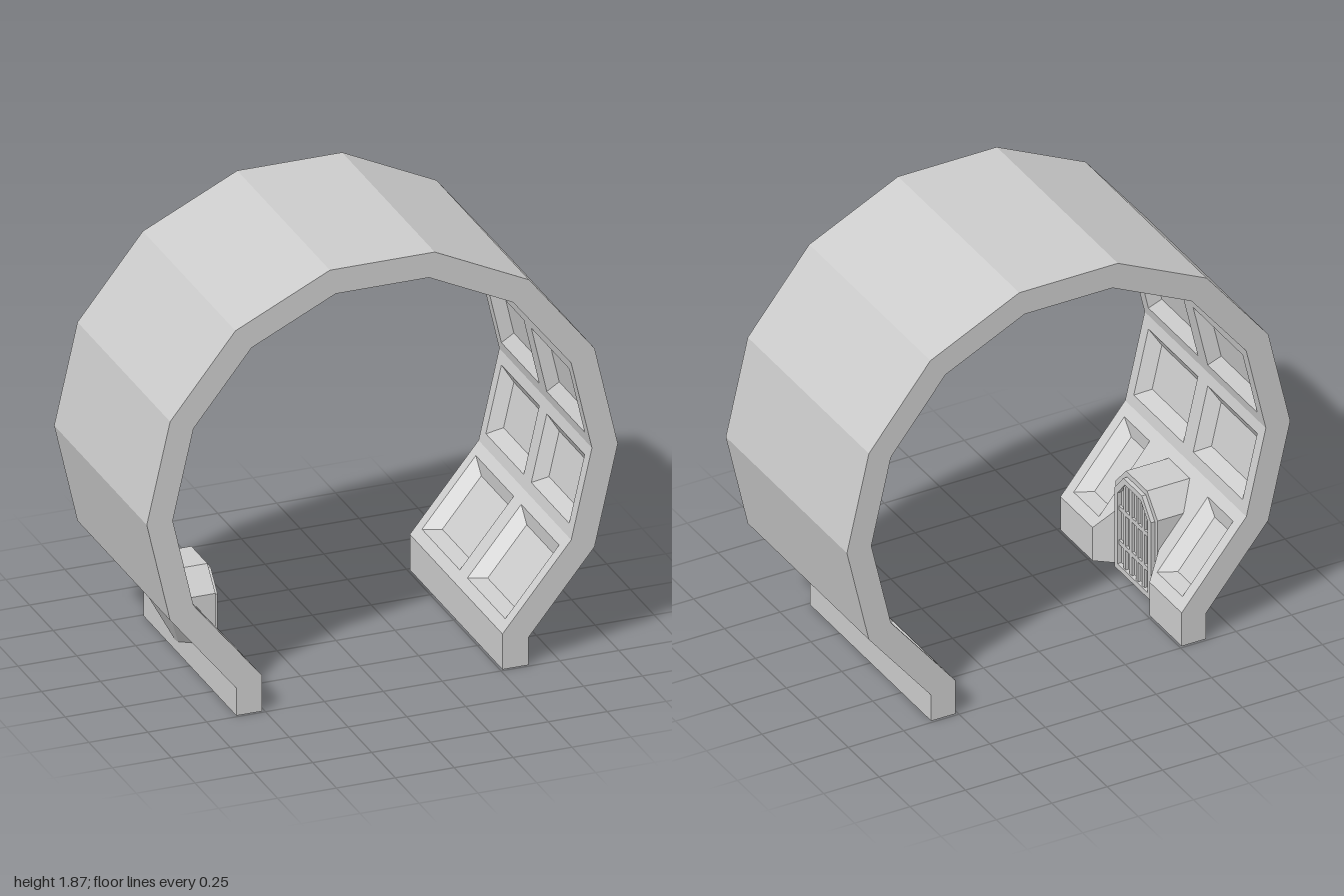
import * as THREE from 'three';

const HALF = 0.49; // half the depth of the arch
const material = new THREE.MeshStandardMaterial({ color: 0xcccccc, flatShading: true, side: THREE.DoubleSide });
const V = (x, y) => new THREE.Vector2(x, y);
const polygon = (pts) => new THREE.Shape(pts.map(([x, y]) => V(x, y)));

function add(parent, name, geometry) {
  const mesh = new THREE.Mesh(geometry, material);
  mesh.name = name;
  parent.add(mesh);
  return mesh;
}

// Fourteen-sided ring profile standing on two short legs
function profile(radius, legX, legY) {
  const pts = [V(legX, 0), V(legX, legY)];
  for (let k = -1; k <= 8; k++) {
    const a = (k * Math.PI * 2) / 14;
    pts.push(V(radius * Math.cos(a), 0.9 + radius * Math.sin(a)));
  }
  pts.push(V(-legX, legY), V(-legX, 0));
  return pts;
}

const rect = (s0, s1, z0, z1) => [[s0, z0], [s1, z0], [s1, z1], [s0, z1]];

// Sunken panel with sloping sides
function cofferGeometry([s0, s1, z0, z1], inset = 0.05, depth = 0.045) {
  const top = rect(s0, s1, z0, z1);
  const low = rect(s0 + inset, s1 - inset, z0 + inset, z1 - inset);
  const pos = [];
  const quad = (a, b, c, d) => pos.push(...a, ...b, ...c, ...a, ...c, ...d);
  for (let i = 0; i < 4; i++) {
    const j = (i + 1) % 4;
    quad([...top[i], 0], [...top[j], 0], [...low[j], -depth], [...low[i], -depth]);
  }
  quad(...low.map((p) => [...p, -depth]));
  const g = new THREE.BufferGeometry();
  g.setAttribute('position', new THREE.Float32BufferAttribute(pos, 3));
  g.computeVertexNormals();
  return g;
}

// Flat wall strip from a to b, running the full depth, with optional coffers
function wallFace(parent, name, a, b, outlines, coffers = []) {
  const u = new THREE.Vector3(b.x - a.x, b.y - a.y, 0).normalize();
  const v = new THREE.Vector3(0, 0, -1);
  const m = new THREE.Matrix4().makeBasis(u, v, u.clone().cross(v)).setPosition(a.x, a.y, 0);
  for (const outline of outlines) {
    const shape = polygon(outline);
    for (const c of coffers) shape.holes.push(new THREE.Path(rect(...c).reverse().map(([x, y]) => V(x, y))));
    add(parent, name, new THREE.ShapeGeometry(shape).applyMatrix4(m));
  }
  for (const c of coffers) add(parent, 'coffer', cofferGeometry(c).applyMatrix4(m));
}

function buildArch() {
  const arch = new THREE.Group();
  arch.name = 'arch';
  const outer = profile(1, 0.62, 0.12);
  const inner = profile(0.89, 0.51, 0.155);
  const last = inner.length - 2;

  for (let i = 0; i <= last; i++) {
    // Outer skin
    const lo = outer[i].distanceTo(outer[i + 1]);
    wallFace(arch, 'outerWall', outer[i + 1], outer[i], [rect(0, lo, -HALF, HALF)]);

    // Inner skin, opened around the gate on the right side
    const L = inner[i].distanceTo(inner[i + 1]);
    const full = [rect(0, L, -HALF, HALF)];
    const e = 0.05;
    if (i === 0) {
      wallFace(arch, 'innerLeg', inner[i], inner[i + 1], full);
    } else if (i === last) {
      wallFace(arch, 'innerLeg', inner[i], inner[i + 1], [rect(0, L, -HALF, -0.23), rect(0, L, 0.23, HALF)]);
    } else if (i === last - 1) {
      const n = L - 0.119;
      const notched = [[0, -HALF], [L, -HALF], [L, -0.23], [n, -0.17], [n, 0.17], [L, 0.23], [L, HALF], [0, HALF]];
      wallFace(arch, 'gateWall', inner[i], inner[i + 1], [notched],
        [[e, L - e, 0.235, HALF - e], [e, L - e, e - HALF, -0.235]]);
    } else {
      wallFace(arch, 'innerWall', inner[i], inner[i + 1], full,
        [[e, L - e, 0.04, HALF - e], [e, L - e, e - HALF, -0.04]]);
    }
  }

  // End rings
  const ring = new THREE.Shape([...outer, ...[...inner].reverse()]);
  add(arch, 'frontRim', new THREE.ShapeGeometry(ring)).position.z = HALF;
  const back = add(arch, 'backRim', new THREE.ShapeGeometry(ring));
  back.position.z = -HALF;
  back.rotation.y = Math.PI;
  return arch;
}

// Arch outline with chamfered shoulders
const gateArch = (w, y0, shoulder, topW, top) => [
  [-w, y0], [w, y0], [w, 0.14], [w, shoulder], [topW, top], [-topW, top], [-w, shoulder], [-w, 0.14]];

function buildGate() {
  const gate = new THREE.Group();
  gate.name = 'gate';
  gate.position.x = -0.58;
  gate.rotation.y = Math.PI / 2;

  // Housing whose back follows the sloping wall
  const body = new THREE.ExtrudeGeometry(polygon(gateArch(0.17, 0, 0.385, 0.085, 0.478)), { depth: 1, bevelEnabled: false });
  const p = body.attributes.position;
  for (let i = 0; i < p.count; i++) {
    p.setZ(i, p.getZ(i) > 0.5 ? 0 : -0.015 - 0.8 * Math.max(0, p.getY(i) - 0.14));
  }
  body.computeVertexNormals();
  add(gate, 'gateHousing', body);

  // Raised frame
  const frame = polygon(gateArch(0.148, 0.005, 0.37, 0.075, 0.455));
  frame.holes.push(new THREE.Path(gateArch(0.122, 0.03, 0.36, 0.063, 0.43).reverse().map(([x, y]) => V(x, y))));
  add(gate, 'gateFrame', new THREE.ExtrudeGeometry(frame, { depth: 0.018, bevelEnabled: false }));

  // Bars
  for (const x of [-0.075, -0.025, 0.025, 0.075]) {
    const top = Math.abs(x) > 0.05 ? 0.415 : 0.435;
    add(gate, 'uprightBar', new THREE.BoxGeometry(0.018, top - 0.02, 0.012)).position.set(x, (top + 0.02) / 2, 0.006);
  }
  for (const y of [0.13, 0.29]) {
    add(gate, 'crossBar', new THREE.BoxGeometry(0.25, 0.02, 0.01)).position.set(0, y, 0.007);
  }
  return gate;
}

// Sloping cheeks either side of the gate opening
function buildCheeks(parent) {
  for (const s of [1, -1]) {
    const a = [-0.51, 0, 0.23 * s], b = [-0.51, 0.155, 0.23 * s];
    const c = [-0.585, 0.248, 0.17 * s], d = [-0.585, 0, 0.17 * s];
    const order = s > 0 ? [a, b, c, a, c, d] : [a, c, b, a, d, c];
    const g = new THREE.BufferGeometry();
    g.setAttribute('position', new THREE.Float32BufferAttribute(order.flat(), 3));
    g.computeVertexNormals();
    add(parent, 'gateCheek', g);
  }
}

// Square flared lamp pointing down into the arch
function buildLamp(side) {
  const steps = [[0.046, -0.03], [0.046, 0.014], [0.03, 0.02], [0.03, 0.026], [0.075, 0.058],
    [0.064, 0.06], [0.026, 0.035], [0.02, 0.045], [0, 0.045]];
  const g = new THREE.LatheGeometry(steps.map(([h, t]) => V(h * Math.SQRT2, t)), 4).rotateY(Math.PI / 4);
  const lamp = new THREE.Mesh(g, material);
  lamp.name = side > 0 ? 'leftLamp' : 'rightLamp';
  lamp.position.set(0.551 * side, 1.585, 0);
  lamp.quaternion.setFromUnitVectors(new THREE.Vector3(0, 1, 0), new THREE.Vector3(-0.65 * side, -0.76, 0).normalize());
  return lamp;
}

export function createModel() {
  const model = new THREE.Group();
  model.name = 'archedTunnel';
  const arch = buildArch();
  buildCheeks(arch);
  model.add(arch, buildGate(), buildLamp(1), buildLamp(-1));
  return model;
}
